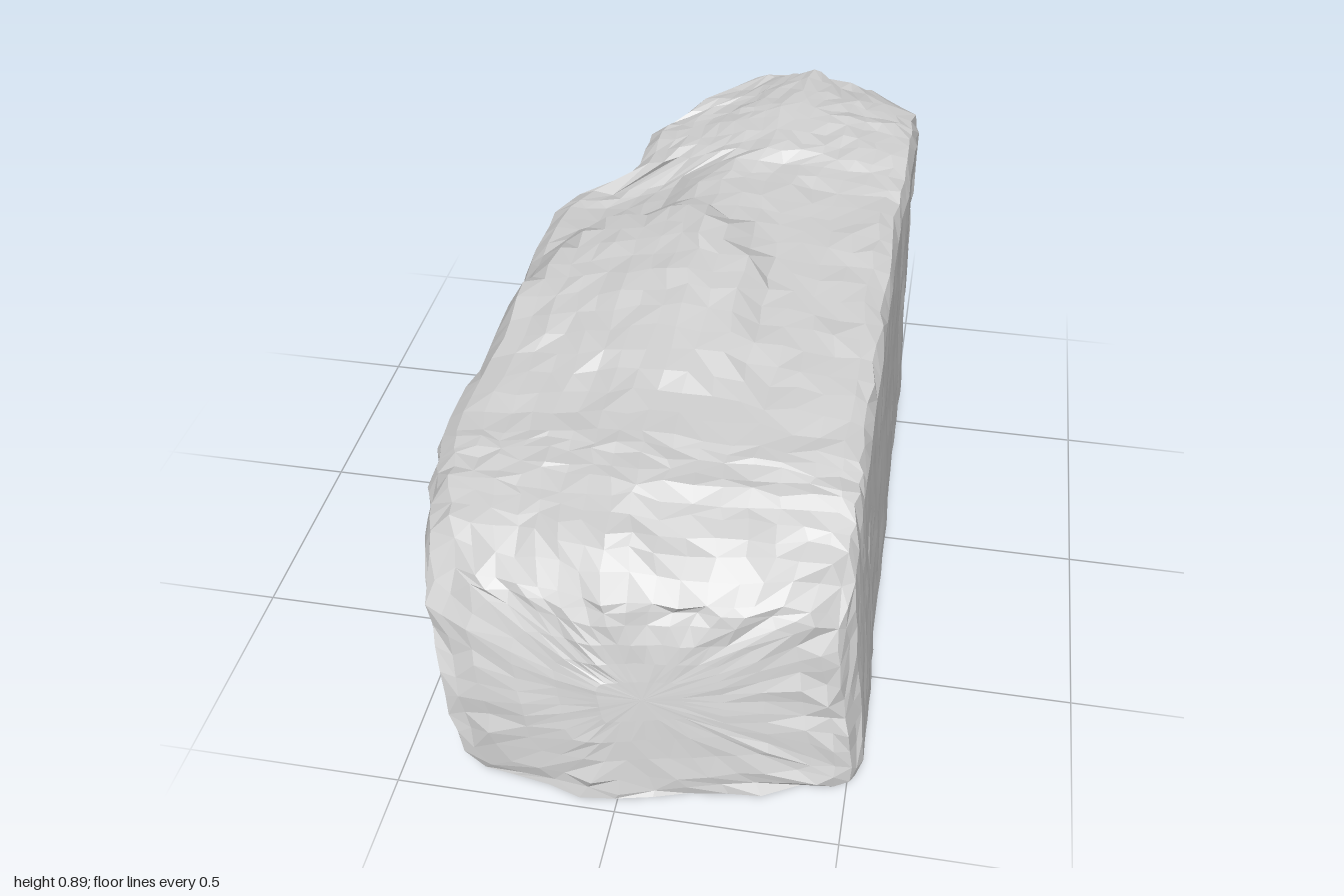
import * as THREE from 'three';

// Cross-sections, front to back:
// z, left x (bottom, top), right x (bottom, top), bottom y, top y (left, middle, right)
const SECTIONS = [
  [1.00, -0.35, -0.44, 0.51, 0.44, 0.02, 0.45, 0.49, 0.46],
  [0.93, -0.37, -0.48, 0.53, 0.47, 0.00, 0.51, 0.57, 0.53],
  [0.70, -0.38, -0.51, 0.53, 0.47, 0.00, 0.54, 0.63, 0.60],
  [0.40, -0.38, -0.53, 0.52, 0.47, 0.01, 0.56, 0.66, 0.64],
  [0.10, -0.38, -0.49, 0.52, 0.47, 0.02, 0.60, 0.73, 0.71],
  [-0.25, -0.39, -0.48, 0.51, 0.47, 0.03, 0.64, 0.79, 0.77],
  [-0.42, -0.39, -0.47, 0.51, 0.47, 0.03, 0.65, 0.81, 0.79],
  [-0.50, -0.35, -0.42, 0.51, 0.48, 0.04, 0.67, 0.82, 0.81],
  [-0.54, -0.24, -0.28, 0.51, 0.48, 0.04, 0.73, 0.84, 0.82],
  [-0.62, -0.19, -0.26, 0.50, 0.48, 0.05, 0.75, 0.86, 0.84],
  [-0.70, -0.17, -0.25, 0.49, 0.48, 0.09, 0.76, 0.88, 0.85],
  [-0.72, -0.18, -0.24, 0.49, 0.48, 0.25, 0.76, 0.88, 0.85],
  [-0.80, -0.13, -0.16, 0.48, 0.48, 0.28, 0.79, 0.89, 0.85],
  [-0.90, -0.02, -0.03, 0.41, 0.40, 0.35, 0.82, 0.89, 0.84],
  [-0.98, 0.10, 0.11, 0.29, 0.30, 0.48, 0.79, 0.83, 0.80],
];
const SEGMENTS = [10, 1, 1, 8, 1, 1, 7, 8, 1, 1, 7, 1]; // subdivisions per ring side
const COUNT = SEGMENTS.reduce((a, b) => a + b);
const { clamp, smoothstep } = THREE.MathUtils;

function makeRandom(seed) {
  return () => {
    seed = (seed * 16807) % 2147483647;
    return seed / 2147483647 - 0.5;
  };
}

const mix = (a, b, t) => a + (b - a) * t;

function sectionAt(z) {
  let i = 0;
  while (i < SECTIONS.length - 2 && z < SECTIONS[i + 1][0]) i++;
  const a = SECTIONS[i], b = SECTIONS[i + 1];
  const t = (z - a[0]) / (b[0] - a[0]);
  return a.map((v, k) => mix(v, b[k], t));
}

// Closed outline with worn corners, counter-clockwise as seen from the front
function outline([z, lb, lt, rb, rt, yb, yl, ym, yr]) {
  const c = 0.035;
  const mx = (lt + rt) / 2;
  const corners = [
    [lb + c, yb], [rb - c, yb + 0.01], [rb - 0.004, yb + 0.02], [rb, yb + 1.4 * c],
    [rt + 0.005, yr - 1.5 * c], [rt - 0.01, yr - 0.4 * c], [rt - 1.4 * c, yr],
    [mx, ym], [lt + 1.6 * c, yl + c], [lt + 0.4 * c, yl], [lt, yl - 1.3 * c], [lb - 0.01, yb + 1.4 * c],
  ];
  const points = [];
  corners.forEach(([x0, y0], i) => {
    const [x1, y1] = corners[(i + 1) % corners.length];
    for (let s = 0; s < SEGMENTS[i]; s++) {
      const t = s / SEGMENTS[i];
      points.push(new THREE.Vector3(mix(x0, x1, t), mix(y0, y1, t), z));
    }
  });
  return points;
}

function shape(p) {
  // Front end slopes back and bows outwards, fuller on the lower left
  const f = clamp((p.z - 0.45) / 0.5, 0, 1);
  const left = smoothstep(-p.x, 0, 0.35);
  const lean = mix(0.3 * p.y, 0.6 * p.y * p.y, left);
  p.z -= f * (lean + mix(0.23, 0.18, left) * Math.abs(p.x + 0.05));
  if (p.y > 0.55) {
    // Thin slab on top of the left side, ending in a step at the back and right
    const d = Math.hypot((p.x + 0.15) / 0.31, (p.z - 0.1) / 0.42);
    const fade = smoothstep(0.4 - p.z, 0, 0.5);
    p.y += 0.045 * fade * (1 - smoothstep(d, 0.93, 1.05));
    // Sunken shelf behind the slab
    const shelf = smoothstep(-p.z, 0.22, 0.3) * (1 - smoothstep(-p.z, 0.5, 0.55));
    p.y -= 0.04 * shelf * smoothstep(-p.x, 0, 0.2) * (1 - smoothstep(-p.x, 0.3, 0.45));
  }
  // Rear left lump is undercut towards the ground
  const w = smoothstep(-p.z, 0.15, 0.5) * (1 - smoothstep(-p.z, 0.58, 0.75))
    * smoothstep(-p.x, 0.05, 0.4) * clamp(1 - p.y / 0.6, 0, 1);
  p.z += 0.15 * w;
  p.y += 0.07 * w;
  // Bottom of the rear rises towards both sides
  p.y += 0.27 * Math.abs(p.x) * smoothstep(-p.z, 0.5, 0.7) * clamp(1 - (p.y - 0.1) / 0.25, 0, 1);
}

// Shrinks a ring towards its middle to close an end
function capRing(ring, k, bulge) {
  const middle = ring.reduce((m, p) => m.add(p), new THREE.Vector3()).divideScalar(ring.length);
  return ring.map((p) => {
    const q = p.clone().lerp(middle, 1 - k);
    q.z += bulge * (1 - k * k);
    return q;
  });
}

function rockGeometry() {
  const random = makeRandom(4711);
  const levels = new Set(SECTIONS.map((s) => s[0]));
  SECTIONS.slice(1).forEach((s, i) => {
    const z0 = SECTIONS[i][0];
    const steps = Math.ceil((z0 - s[0]) / 0.065);
    for (let k = 1; k < steps; k++) levels.add(mix(z0, s[0], k / steps));
  });
  const body = [...levels].sort((a, b) => b - a).map((z) => ({ ring: outline(sectionAt(z)), rough: 1 }));
  const first = body[0].ring, last = body[body.length - 1].ring;
  const rings = [
    ...[0, 0.2, 0.4, 0.6, 0.8, 0.92].map((k) => ({ ring: capRing(first, k, 0.015), rough: k * k })),
    ...body,
    ...[0.7, 0.35, 0].map((k) => ({ ring: capRing(last, k, -0.02), rough: k * k })),
  ];

  // Chipped surface: each vertex shifts a little, least on the clean right face
  const positions = [];
  rings.forEach(({ ring, rough }) => {
    ring.forEach((p) => {
      shape(p);
      const side = p.x > 0.46 && p.z > -0.7 ? 0.25 : 1;
      p.x += 0.016 * rough * side * random();
      p.y += 0.012 * rough * random();
      p.z += 0.024 * rough * random();
      positions.push(p.x, Math.max(p.y, 0), clamp(p.z, -1, 1));
    });
  });

  const index = [];
  for (let i = 0; i < rings.length - 1; i++) {
    for (let j = 0; j < COUNT; j++) {
      const a = i * COUNT + j, b = i * COUNT + (j + 1) % COUNT;
      const c = a + COUNT, d = b + COUNT;
      if (random() > 0) index.push(a, c, b, b, c, d);
      else index.push(a, c, d, a, d, b);
    }
  }
  const geometry = new THREE.BufferGeometry();
  geometry.setAttribute('position', new THREE.Float32BufferAttribute(positions, 3));
  geometry.setIndex(index);
  const faceted = geometry.toNonIndexed();
  faceted.computeVertexNormals();
  return faceted;
}

export function createModel() {
  const model = new THREE.Group();
  model.name = 'rock';
  const stone = new THREE.MeshStandardMaterial({ color: 0xcccccc, flatShading: true });
  const boulder = new THREE.Mesh(rockGeometry(), stone);
  boulder.name = 'boulder';
  model.add(boulder);
  return model;
}
